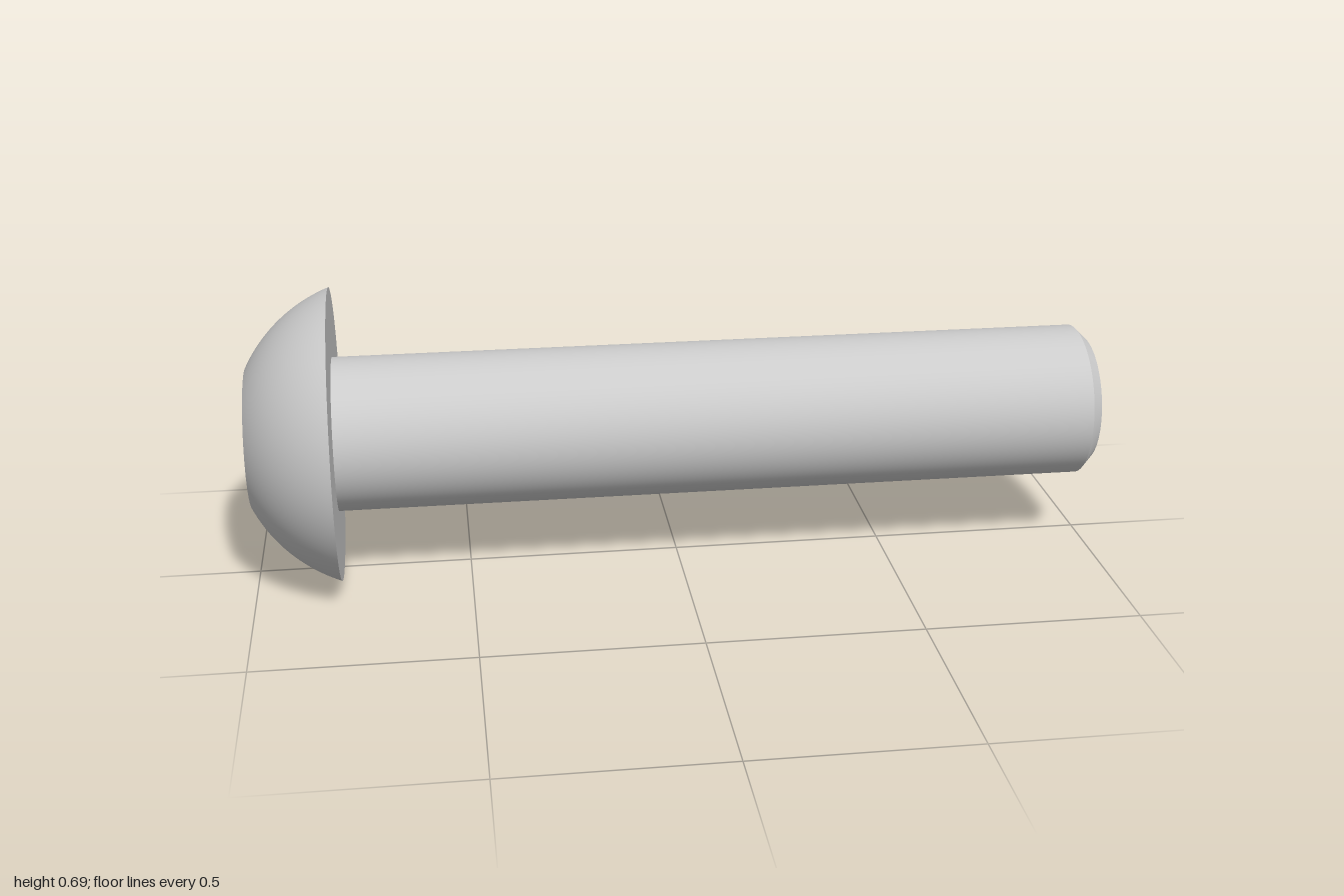
import * as THREE from 'three';

const SEGMENTS = 96;
const HEAD_END = -1, HEAD_BASE = -0.802, TIP = 1;
const HEAD_R = 0.3425, FACE_R = 0.165, SHAFT_R = 0.18, TIP_R = 0.152;
const SOCKET_R = 0.125, SOCKET_DEPTH = 0.112;

const grey = new THREE.MeshStandardMaterial({ color: 0xcccccc });
const greyInside = new THREE.MeshStandardMaterial({ color: 0xcccccc, flatShading: true, side: THREE.BackSide });

function named(name, geometry, material = grey) {
  const mesh = new THREE.Mesh(geometry, material);
  mesh.name = name;
  return mesh;
}

// Surface turned around the x axis from [radius, x] points; separate surfaces keep edges sharp
function turned(name, profile) {
  const points = profile.map(([r, x]) => new THREE.Vector2(r, x));
  return named(name, new THREE.LatheGeometry(points, SEGMENTS).rotateZ(-Math.PI / 2));
}

// Spherical arc from the flat face to the rim, centred on the axis
function domeProfile(steps = 20) {
  const cx = (HEAD_BASE ** 2 + HEAD_R ** 2 - HEAD_END ** 2 - FACE_R ** 2) / (2 * (HEAD_BASE - HEAD_END));
  const radius = Math.hypot(HEAD_BASE - cx, HEAD_R);
  const a0 = Math.atan2(FACE_R, HEAD_END - cx);
  const a1 = Math.atan2(HEAD_R, HEAD_BASE - cx);
  return Array.from({ length: steps + 1 }, (_, i) => {
    const a = a0 + ((a1 - a0) * i) / steps;
    return [radius * Math.sin(a), cx + radius * Math.cos(a)];
  });
}

function createHead() {
  const head = new THREE.Group();
  head.name = 'head';
  head.add(turned('dome', domeProfile()));
  head.add(turned('headUnderside', [[HEAD_R, HEAD_BASE], [SHAFT_R, HEAD_BASE]]));

  // Flat face with the hexagonal opening
  const face = new THREE.Shape().absarc(0, 0, FACE_R, 0, Math.PI * 2);
  const corners = Array.from({ length: 6 }, (_, i) => {
    const a = Math.PI / 2 - (i * Math.PI) / 3;
    return new THREE.Vector2(SOCKET_R * Math.cos(a), SOCKET_R * Math.sin(a));
  });
  face.holes.push(new THREE.Path(corners));
  head.add(named('headFace',
    new THREE.ShapeGeometry(face, SEGMENTS / 2).rotateY(-Math.PI / 2).translate(HEAD_END, 0, 0)));

  // Hexagonal socket: walls seen from within, and its floor
  const walls = new THREE.CylinderGeometry(SOCKET_R, SOCKET_R, SOCKET_DEPTH, 6, 1, true, Math.PI / 2)
    .rotateZ(-Math.PI / 2).translate(HEAD_END + SOCKET_DEPTH / 2, 0, 0);
  head.add(named('socketWalls', walls, greyInside));
  head.add(named('socketFloor', new THREE.CircleGeometry(SOCKET_R, 6, Math.PI / 2)
    .rotateY(-Math.PI / 2).translate(HEAD_END + SOCKET_DEPTH, 0, 0)));
  return head;
}

function createShaft() {
  const shaft = new THREE.Group();
  shaft.name = 'shaft';
  const chamferStart = TIP - (SHAFT_R - TIP_R);
  shaft.add(turned('shaftBody', [[SHAFT_R, HEAD_BASE], [SHAFT_R, chamferStart]]));
  shaft.add(turned('tipChamfer', [[SHAFT_R, chamferStart], [TIP_R, TIP]]));
  shaft.add(turned('tipFace', [[TIP_R, TIP], [0, TIP]]));
  return shaft;
}

export function createModel() {
  const bolt = new THREE.Group();
  bolt.name = 'bolt';
  bolt.add(createHead(), createShaft());
  bolt.position.y = HEAD_R;
  const model = new THREE.Group();
  model.name = 'buttonHeadBolt';
  model.add(bolt);
  return model;
}
